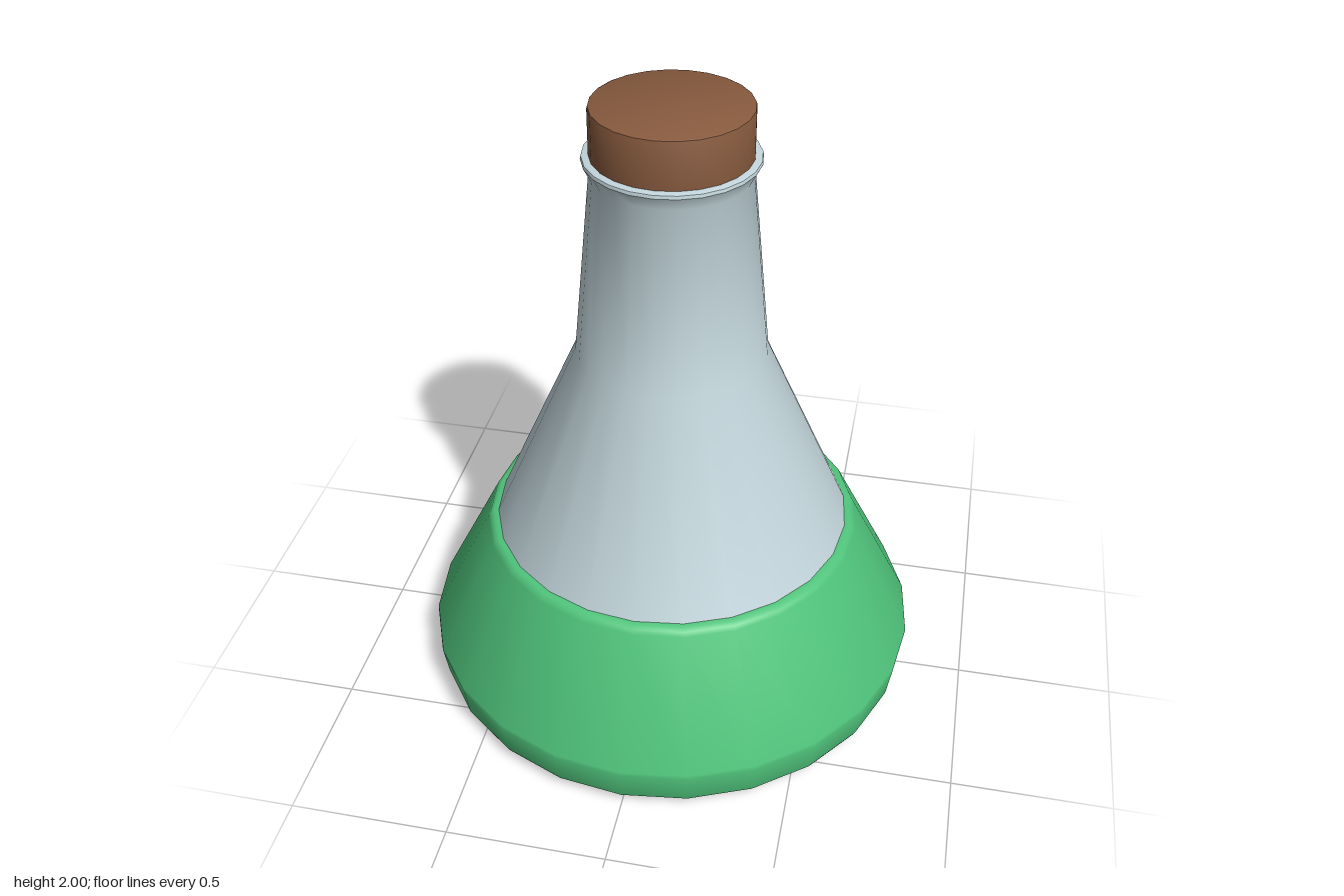
import * as THREE from 'three';
import { toCreasedNormals } from 'three/addons/utils/BufferGeometryUtils.js';

const material = (name, color) => {
  const m = new THREE.MeshStandardMaterial({ color });
  m.name = name;
  return m;
};

// Turns a profile of [radius, height] pairs, listed bottom to top, around y
function turned(name, profile, segments, mat) {
  const points = profile.map(([r, y]) => new THREE.Vector2(r, y));
  const geometry = toCreasedNormals(new THREE.LatheGeometry(points, segments), 0.65);
  const mesh = new THREE.Mesh(geometry, mat);
  mesh.name = name;
  return mesh;
}

export function createModel() {
  const glass = material('pale glass', 0xc3d6dc);
  const green = material('green liquid', 0x50c57c);
  const brown = material('brown cork', 0x875a3e);

  const flask = new THREE.Group();
  flask.name = 'flask';

  // Glass body: foot, cone, tapering neck and flared lip
  flask.add(turned('glassBody', [
    [0, 0], [0.71, 0], [0.722, 0.006], [0.73, 0.02], [0.735, 0.06],
    [0.735, 0.15], [0.575, 0.565], [0.296, 1.2], [0.238, 1.795],
    [0.26, 1.838], [0.258, 1.848], [0.25, 1.851], [0.2, 1.851], [0, 1.851],
  ], 24, glass));

  // Wide band of liquid around the lower body, with rounded edges
  flask.add(turned('liquid', [
    [0.68, 0.035], [0.775, 0.035], [0.785, 0.039], [0.79, 0.05],
    [0.805, 0.15], [0.803, 0.162], [0.605, 0.552], [0.598, 0.566],
    [0.586, 0.573], [0.57, 0.575], [0.54, 0.575],
  ], 24, green));

  // Cork stopper with a small bevel
  flask.add(turned('cork', [
    [0, 1.8], [0.232, 1.8], [0.237, 1.85], [0.237, 1.99], [0.235, 1.997],
    [0.229, 2], [0, 2],
  ], 24, brown));

  return flask;
}
